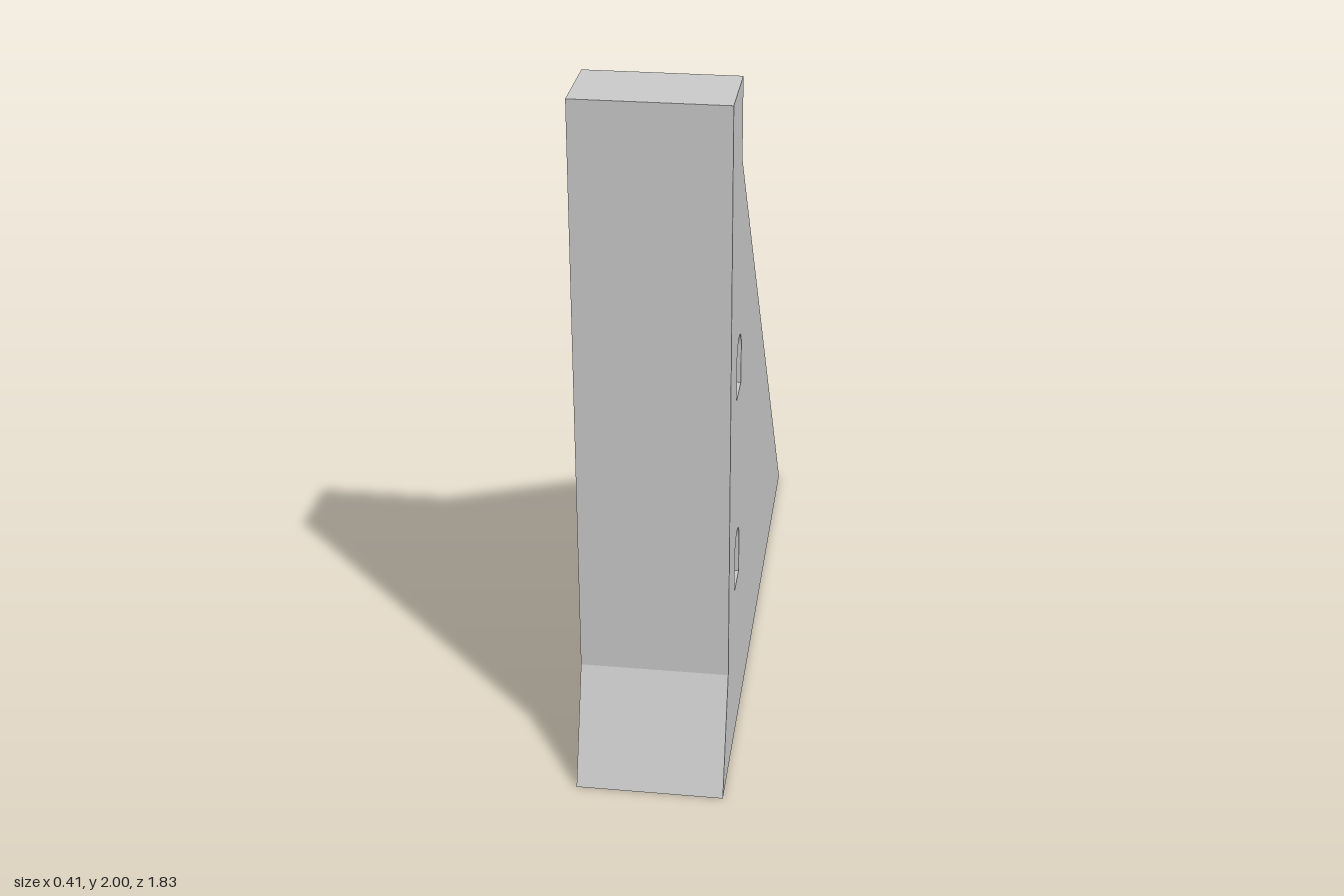
import * as THREE from 'three';
import { toCreasedNormals } from 'three/addons/utils/BufferGeometryUtils.js';

const WIDTH = 0.415;

// Round-headed opening, drawn in the side plane (z, y)
function archedOpening(z, sill, radius, springing) {
  const path = new THREE.Path();
  path.moveTo(z - radius, sill);
  path.lineTo(z + radius, sill);
  path.lineTo(z + radius, springing);
  path.absarc(z, springing, radius, 0, Math.PI, false);
  path.closePath();
  return path;
}

export function createModel() {
  const group = new THREE.Group();
  group.name = 'buttressWall';

  // Side profile: sloped toe, upright face, crest and long raking back
  const profile = new THREE.Shape([
    [-0.917, 0], [0.917, 0], [0.8, 0.335], [0.8, 2], [0.57, 2], [0.57, 1.775],
  ].map(([z, y]) => new THREE.Vector2(z, y)));

  // Two gallery openings, one above the other
  for (const sill of [0.514, 1.117]) {
    profile.holes.push(archedOpening(0.596, sill, 0.055, sill + 0.112));
  }

  // Extrude across the width and turn the profile to face +z
  const geometry = new THREE.ExtrudeGeometry(profile, {
    depth: WIDTH, bevelEnabled: false, curveSegments: 24,
  });
  geometry.translate(0, 0, -WIDTH / 2);
  geometry.rotateY(-Math.PI / 2);

  const wall = new THREE.Mesh(
    toCreasedNormals(geometry, Math.PI / 12),
    new THREE.MeshStandardMaterial({ color: 0xcccccc }),
  );
  wall.name = 'wallSection';
  group.add(wall);
  return group;
}
